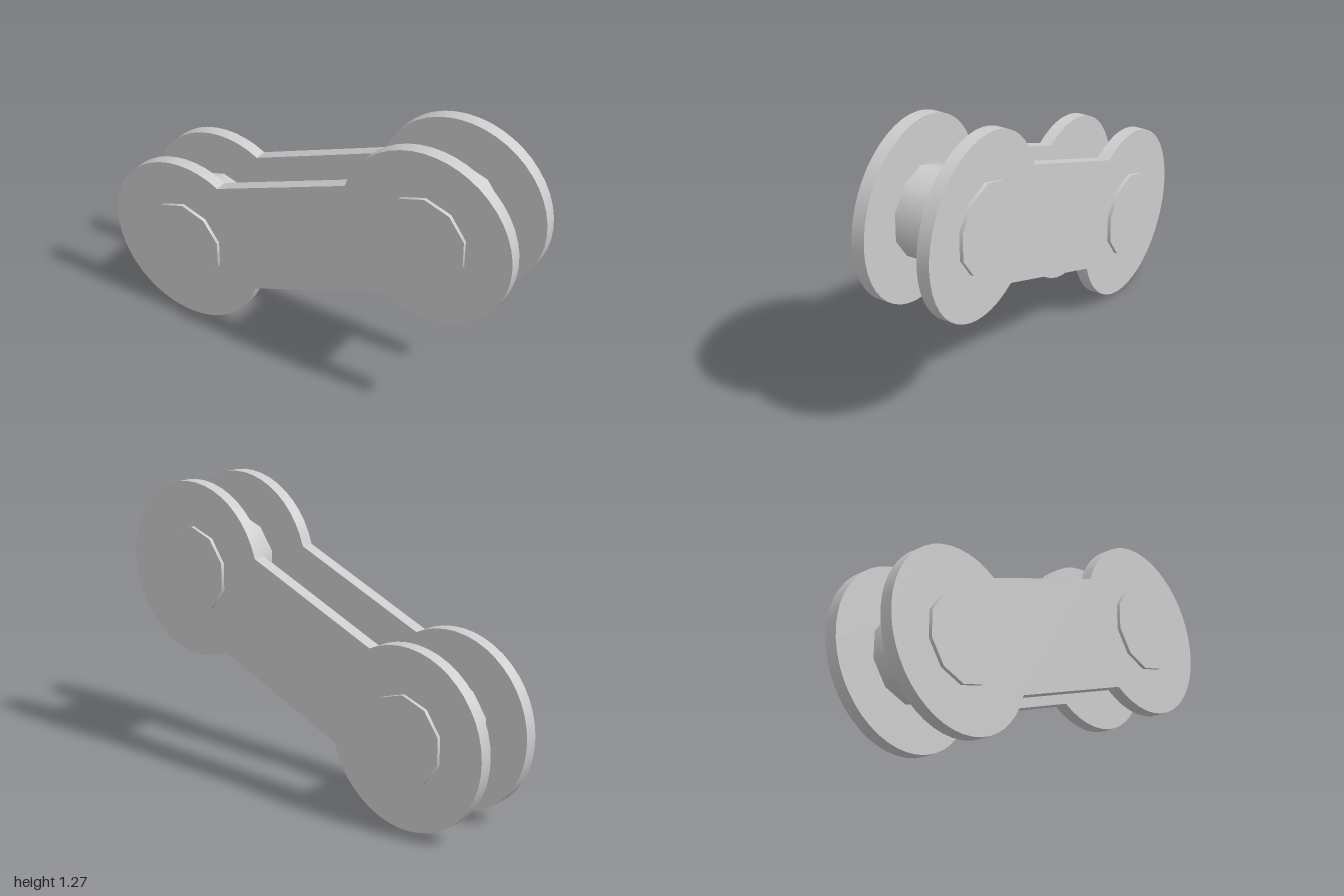
import * as THREE from 'three';
import { toCreasedNormals } from 'three/addons/utils/BufferGeometryUtils.js';

const material = new THREE.MeshStandardMaterial({ color: 0xcccccc });
const centres = [[-0.607, 0.396], [0.607, 0.882]];
const plateRadius = 0.393, plateInner = 0.12, plateThickness = 0.057;
const pinRadius = 0.195, pinLength = 0.386;

// Outline of a link plate: two round ends joined by a narrower waist
function plateShape() {
  const shape = new THREE.Shape();
  const start = THREE.MathUtils.degToRad(61.5);
  const end = THREE.MathUtils.degToRad(343.2);
  centres.forEach(([x, y], i) => {
    shape.absarc(x, y, plateRadius, start + i * Math.PI, end + i * Math.PI, false);
  });
  shape.closePath();
  return shape;
}

export function createModel() {
  const group = new THREE.Group();
  group.name = 'chainLink';

  // Front and back link plates
  const plateGeometry = toCreasedNormals(
    new THREE.ExtrudeGeometry(plateShape(), {
      depth: plateThickness, bevelEnabled: false, curveSegments: 18,
    }),
    0.5
  );
  for (const [name, z] of [['frontPlate', plateInner], ['backPlate', -plateInner - plateThickness]]) {
    const plate = new THREE.Mesh(plateGeometry, material);
    plate.name = name;
    plate.position.z = z;
    group.add(plate);
  }

  // Pins running through both plates, standing slightly proud of them
  const pinGeometry = new THREE.CylinderGeometry(pinRadius, pinRadius, pinLength, 10);
  pinGeometry.rotateX(Math.PI / 2);
  centres.forEach(([x, y], i) => {
    const pin = new THREE.Mesh(pinGeometry, material);
    pin.name = i ? 'leftPin' : 'rightPin';
    pin.position.set(x, y, 0);
    group.add(pin);
  });

  return group;
}
